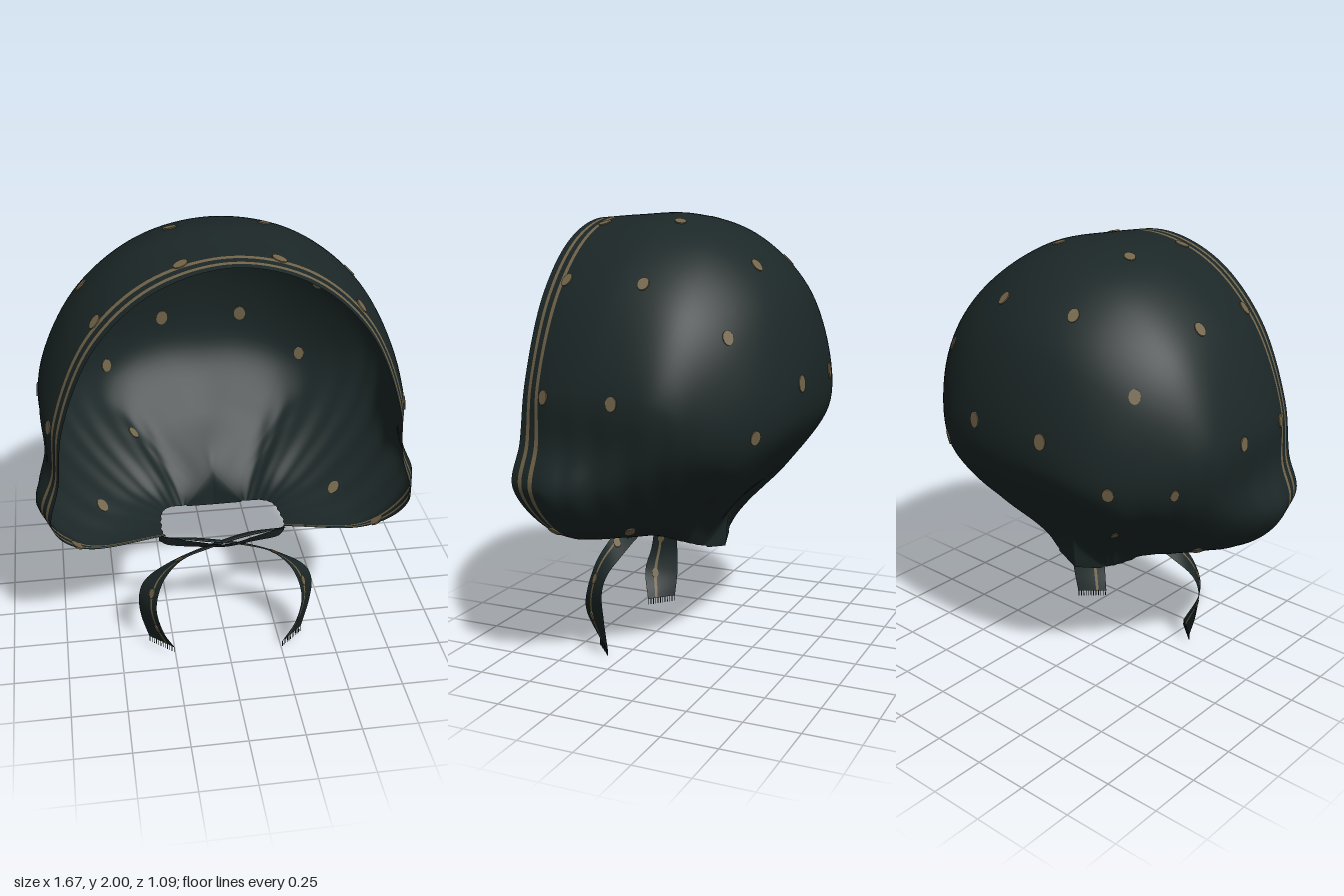
import * as THREE from 'three';

const cloth = new THREE.MeshStandardMaterial({ color: 0x1c2727, side: THREE.DoubleSide });
cloth.name = 'dark green cloth';
const tan = new THREE.MeshStandardMaterial({ color: 0x73654a, side: THREE.DoubleSide });
tan.name = 'tan pattern';

const V = (p) => new THREE.Vector3(...p);
const range = (a, b, n) => Array.from({ length: n + 1 }, (_, i) => a + (b - a) * i / n);

// Half arches of the hood, from the neck hem up to the centre line, front rim first
const rimArches = [
  [[.27, .595, .28], [.63, .645, .4], [.77, .87, .54], [.73, 1.06, .525], [.70, 1.31, .51], [.555, 1.66, .5], [.31, 1.89, .5], [0, 1.975, .5]],
  [[.28, .59, .25], [.63, .64, .33], [.83, .87, .32], [.775, 1.06, .33], [.762, 1.3, .34], [.60, 1.68, .32], [.34, 1.91, .31], [0, 1.99, .31]],
  [[.28, .58, .16], [.55, .65, .16], [.76, .88, .13], [.775, 1.07, .12], [.787, 1.3, .12], [.61, 1.7, .1], [.33, 1.93, .07], [0, 1.997, .07]],
];
const backArches = [
  [[.27, .575, .08], [.45, .66, .02], [.69, .92, -.06], [.76, 1.1, -.11], [.77, 1.28, -.14], [.61, 1.62, -.17], [.33, 1.84, -.2], [0, 1.92, -.2]],
  [[.25, .56, .02], [.36, .66, -.05], [.57, .9, -.18], [.65, 1.05, -.25], [.67, 1.18, -.28], [.54, 1.43, -.36], [.3, 1.6, -.43], [0, 1.66, -.46]],
  [[.21, .54, -.03], [.27, .66, -.09], [.4, .84, -.25], [.46, .95, -.35], [.45, 1.06, -.43], [.36, 1.13, -.49], [.2, 1.17, -.53], [0, 1.17, -.54]],
  [[.16, .52, -.06], [.19, .6, -.1], [.24, .7, -.18], [.27, .77, -.25], [.27, .83, -.31], [.21, .87, -.345], [.12, .89, -.365], [0, .89, -.37]],
];
const straight = (a, b) => range(0, 1, 7).map((t) => a.map((c, i) => c + (b[i] - c) * t));
const neckArches = [
  straight([.14, .515, -.07], [0, .66, -.14]),
  straight([.13, .505, -.075], [0, .48, -.11]),
];
const arches = [...rimArches, ...backArches, ...neckArches].map((half) => {
  const other = half.slice(0, -1).reverse().map(([x, y, z]) => [-x, y, z]);
  return new THREE.CatmullRomCurve3([...half, ...other].map(V));
});

// Grid of cloth from rows of points; cells accepted by isTan get the second material
function clothMesh(name, rows, isTan) {
  const n = rows[0].length, base = [], painted = [];
  for (let i = 0; i < rows.length - 1; i++) {
    for (let j = 0; j < n - 1; j++) {
      const a = i * n + j, b = a + n;
      (isTan(i, j) ? painted : base).push(a, a + 1, b, b, a + 1, b + 1);
    }
  }
  const g = new THREE.BufferGeometry().setFromPoints(rows.flat());
  g.setIndex([...base, ...painted]);
  g.addGroup(0, base.length, 0);
  g.addGroup(base.length, painted.length, 1);
  g.computeVertexNormals();
  const mesh = new THREE.Mesh(g, [cloth, tan]);
  mesh.name = name;
  return mesh;
}

// Thin oval plate set into the cloth at the place nearest to the target
function addDot(group, mesh, target, rx = .025, ry = .032) {
  const { position, normal } = mesh.geometry.attributes;
  const goal = V(target), p = new THREE.Vector3();
  let best = 0, bestD = Infinity;
  for (let i = 0; i < position.count; i++) {
    const d = p.fromBufferAttribute(position, i).distanceToSquared(goal);
    if (d < bestD) { bestD = d; best = i; }
  }
  p.fromBufferAttribute(position, best);
  const n = new THREE.Vector3().fromBufferAttribute(normal, best);
  const g = new THREE.CylinderGeometry(1, 1, .008, 12).rotateX(Math.PI / 2);
  g.scale(rx, ry, 1);
  const dot = new THREE.Mesh(g, tan);
  dot.name = 'dot';
  dot.position.copy(goal).addScaledVector(n, p.sub(goal).dot(n));
  dot.lookAt(dot.position.clone().add(n));
  group.add(dot);
}

function makeHood() {
  const group = new THREE.Group();
  group.name = 'hood';
  // Rim stripes lie between these fractions of the first section
  const vs = [0, .08, .17, .27, .35, .43, .54, .7, .85, ...range(1, 8, 70)].map((v) => v / 8);
  const us = range(0, 1, 140);
  const columns = us.map((u) => new THREE.CatmullRomCurve3(arches.map((a) => a.getPoint(u))));
  const rows = vs.map((v) => us.map((u, j) => {
    const p = columns[j].getPoint(v);
    // Soft pleats gathering towards the neck
    const low = Math.max(0, 1 - Math.min(u, 1 - u) * 3.2);
    const k = 1 + .01 * Math.sin(v * 75) * low * Math.min(1, v * 6) * Math.min(1, (1 - v) * 6);
    p.x *= k;
    p.z *= k;
    return p;
  }));
  const hood = clothMesh('hoodCloth', rows, (i) => i === 2 || i === 5);
  group.add(hood);

  const dots = [
    [.6, 1.75, .01], [.2, 1.97, .02], [.2, 1.8, -.34], [.52, 1.52, -.33], [.79, 1.27, .055],
    [.45, 1.12, -.4], [.55, .66, .1],
    [.2, 1.97, .39], [.55, 1.74, .39], [.77, 1.27, .395], [.66, .69, .4],
  ];
  for (const s of [1, -1]) {
    for (const [x, y, z] of dots) addDot(group, hood, [s * x, y, z]);
    addDot(group, hood, [s * .19, 1.3, -.53], .028, .037);
  }
  addDot(group, hood, [-.67, 1.11, -.25], .018, .03);
  addDot(group, hood, [-.35, .85, -.25], .018, .03);
  return group;
}

// Flat band along a path; half-width vectors blend between the listed ones
function ribbon(name, path, widths, striped) {
  const curve = new THREE.CatmullRomCurve3(path.map(V));
  const width = new THREE.CatmullRomCurve3(widths.map(V));
  const across = [-1, -.5, 0, .28, .46, 1];
  const rows = range(0, 1, 48).map((t) => across.map((k) =>
    curve.getPoint(t).addScaledVector(width.getPoint(t), k)));
  return clothMesh(name, rows, (i, j) => striped && j === 3);
}

// Tie that starts at one corner of the hood, crosses the front and hangs on side s
function makeTie(s, endY) {
  const group = new THREE.Group();
  group.name = s > 0 ? 'leftTie' : 'rightTie';
  const flip = ([x, y, z]) => [s * x, y, z];
  const path = [
    [-.28, .58, .27], [-.1, .575, .3 + s * .008], [.1, .54, .325], [.24, .485, .335],
    [.335, .41, .36], [.37, .31, .38], [.355, .19, .39], [.31, endY, .37],
  ].map(flip);
  const widths = [
    [0, .02, .03], [0, .022, .045], [-.01, .028, .045], [-.025, .032, .04],
    [-.035, .02, .045], [-.035, 0, .055], [-.045, 0, .07], [-.055, 0, .05],
  ].map(flip);
  const band = ribbon('tieRibbon', path, widths, true);
  group.add(band);
  for (const p of [[.22, .5, .34], [.35, .36, .39], [.34, .17, .42]]) addDot(group, band, flip(p), .016, .026);

  // Fringe threads along the cut end
  for (const k of range(-.95, .95, 11)) {
    const thread = new THREE.Mesh(new THREE.BoxGeometry(.003, .03, .003), cloth);
    thread.name = 'fringeThread';
    thread.position.set(s * (.31 - .055 * k), endY - .014, .37 + .05 * k);
    group.add(thread);
  }
  return group;
}

export function createModel() {
  const model = new THREE.Group();
  model.name = 'headscarf';
  model.add(makeHood(), makeTie(1, .03), makeTie(-1, .055));
  // Band wrapped across the crossing
  model.add(ribbon('knotWrap',
    [[-.3, .57, .26], [-.26, .565, .28], [-.13, .555, .31], [0, .55, .33], [.13, .56, .31], [.25, .565, .28], [.28, .57, .26]],
    [[0, .02, .01], [0, .03, .012], [0, .024, .015], [0, .018, .015], [0, .024, .015], [0, .03, .012], [0, .02, .01]], false));
  return model;
}
